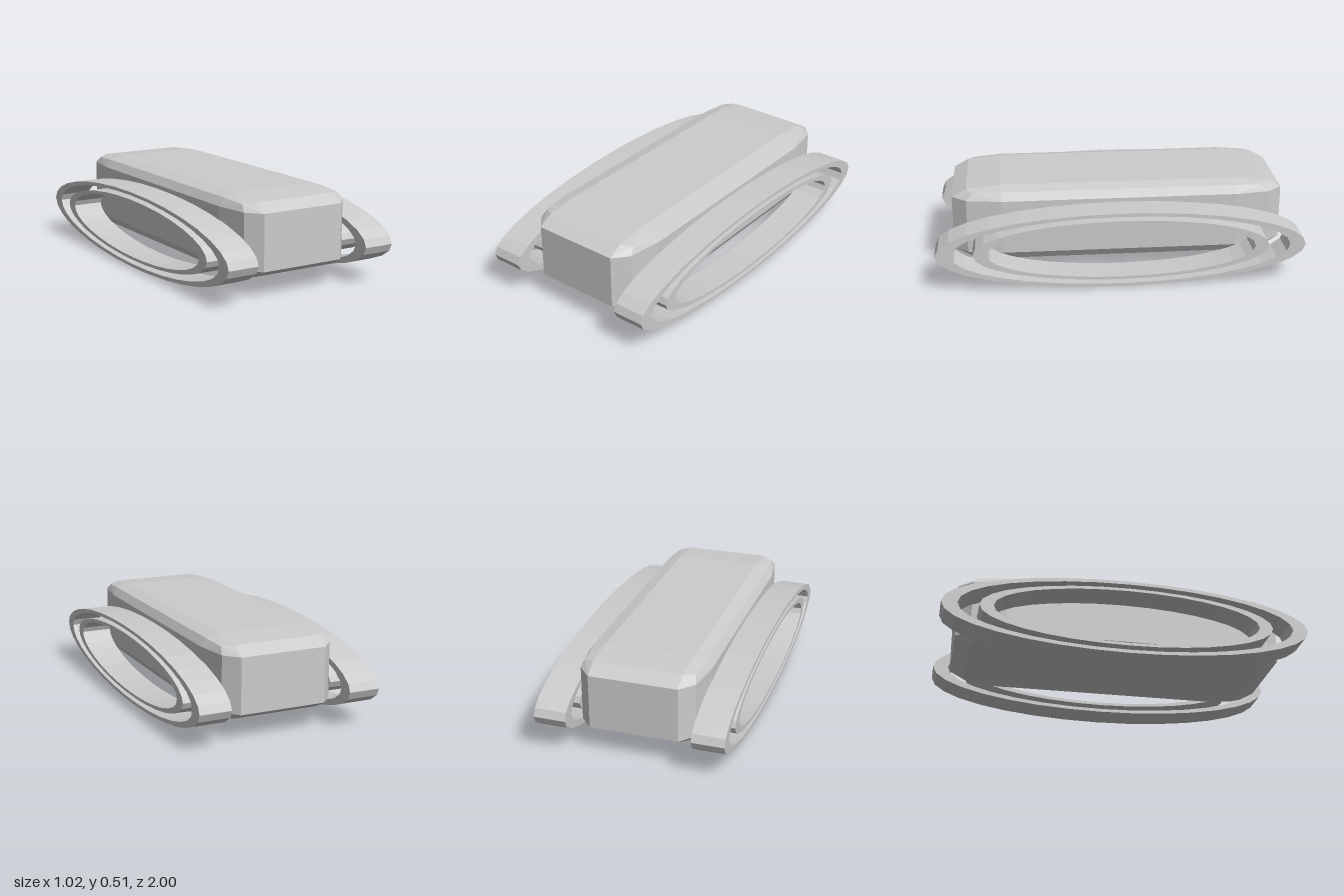
import * as THREE from 'three';
import { ConvexGeometry } from 'three/addons/geometries/ConvexGeometry.js';

const material = new THREE.MeshStandardMaterial({ color: 0xcccccc, flatShading: true });
const MID_Y = 0.296;
const RING_Y = 0.2125;

// Box with softened edges: flat faces, one loop along each edge, one point per corner
function createBody() {
  const flat = [0.24, 0.15, 0.64];
  const edge = [0.31, 0.193, 0.828];
  const full = [0.338, 0.211, 0.907];
  const corner = [0.297, 0.185, 0.79];
  const octant = [corner];
  for (let axis = 0; axis < 3; axis++) {
    octant.push(flat.map((v, i) => (i === axis ? full[i] : v)));
    octant.push(edge.map((v, i) => (i === axis ? flat[i] : v)));
  }
  const points = [];
  for (const sx of [-1, 1]) for (const sy of [-1, 1]) for (const sz of [-1, 1]) {
    for (const [x, y, z] of octant) points.push(new THREE.Vector3(x * sx, y * sy, z * sz));
  }
  const body = new THREE.Mesh(new ConvexGeometry(points), material);
  body.name = 'body';
  body.position.y = MID_Y;
  return body;
}

function ellipsePoints(radius) {
  return Array.from({ length: 32 }, (_, i) => {
    const a = (i / 32) * Math.PI * 2;
    return new THREE.Vector2(Math.cos(a) * radius, Math.sin(a) * radius * RING_Y);
  });
}

// Flattened band, extruded across the width of the track
function createRing(name, outer, inner) {
  const shape = new THREE.Shape(ellipsePoints(outer));
  shape.holes.push(new THREE.Path(ellipsePoints(inner)));
  const geometry = new THREE.ExtrudeGeometry(shape, { depth: 0.174, bevelEnabled: false });
  geometry.translate(0, 0, -0.087).rotateY(Math.PI / 2);
  const mesh = new THREE.Mesh(geometry, material);
  mesh.name = name;
  return mesh;
}

export function createModel() {
  const model = new THREE.Group();
  model.name = 'trackedVehicle';
  model.add(createBody());

  // Two nested bands on each side
  for (const [name, side] of [['leftTrack', 1], ['rightTrack', -1]]) {
    const track = new THREE.Group();
    track.name = name;
    track.add(createRing('outerBand', 1, 0.915), createRing('innerBand', 0.8, 0.725));
    track.position.set(side * 0.423, RING_Y, 0);
    model.add(track);
  }
  return model;
}
